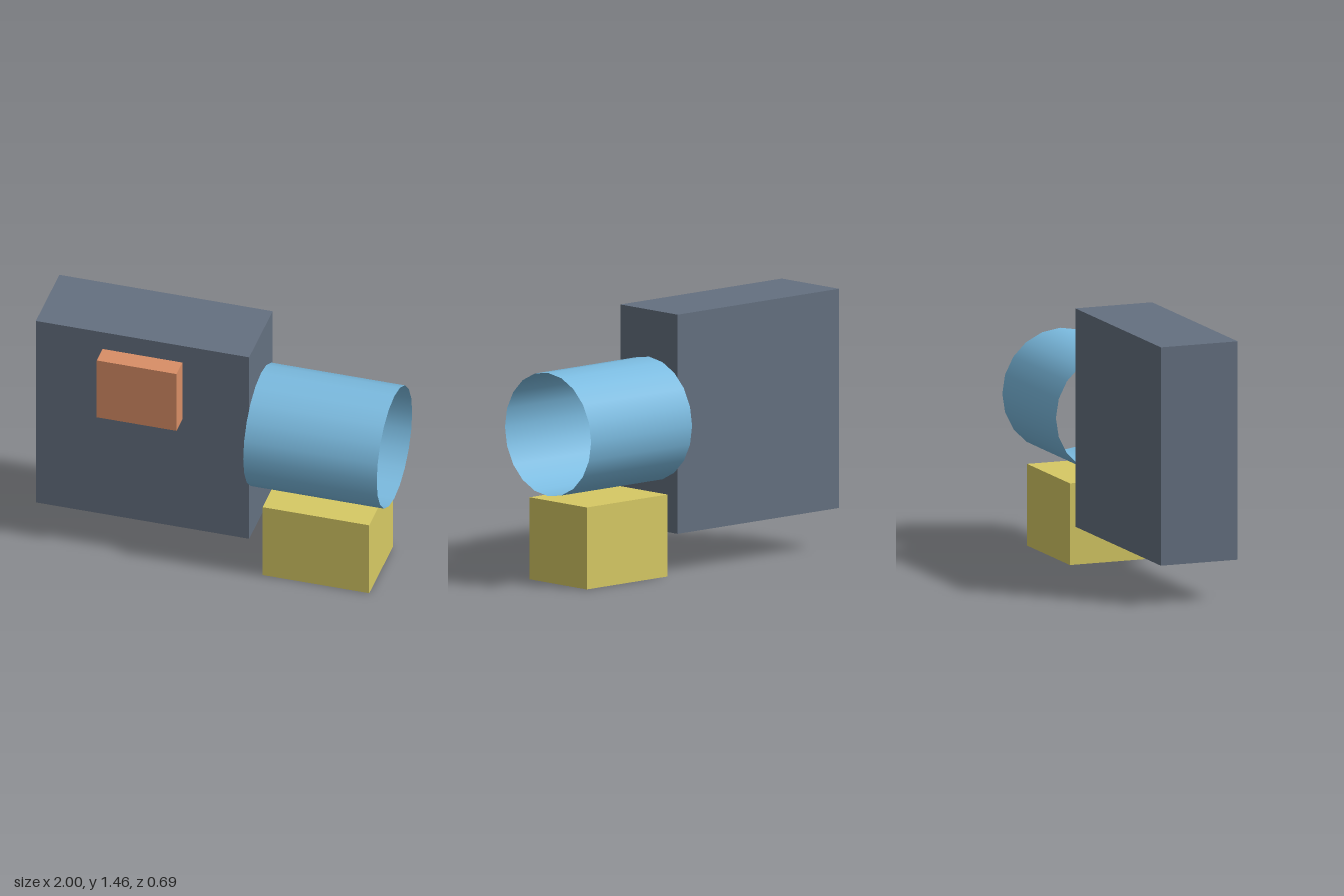
import * as THREE from 'three';

const material = (color, side = THREE.FrontSide) => new THREE.MeshStandardMaterial({ color, side });

function addPart(group, name, geometry, mat, x, y, z) {
  const mesh = new THREE.Mesh(geometry, mat);
  mesh.name = name;
  mesh.position.set(x, y, z);
  group.add(mesh);
  return mesh;
}

export function createModel() {
  const group = new THREE.Group();
  group.name = 'model';

  // Large upright slab
  addPart(group, 'body', new THREE.BoxGeometry(1.23, 1.23, 0.46),
    material(0x647080), -0.385, 0.845, 0);

  // Raised plate on the front of the slab
  addPart(group, 'frontPanel', new THREE.BoxGeometry(0.46, 0.385, 0.115),
    material(0xd98e66), -0.385, 1.155, 0.2875);

  // Thin open tube lying along x
  const tube = new THREE.CylinderGeometry(0.346, 0.346, 0.77, 20, 1, true);
  tube.rotateZ(-Math.PI / 2);
  addPart(group, 'tube', tube, material(0x7bbbe0, THREE.DoubleSide), 0.615, 0.85, 0);

  // Block beneath the tube
  addPart(group, 'baseBlock', new THREE.BoxGeometry(0.615, 0.46, 0.46),
    material(0xd6c964), 0.615, 0.23, 0);

  return group;
}
